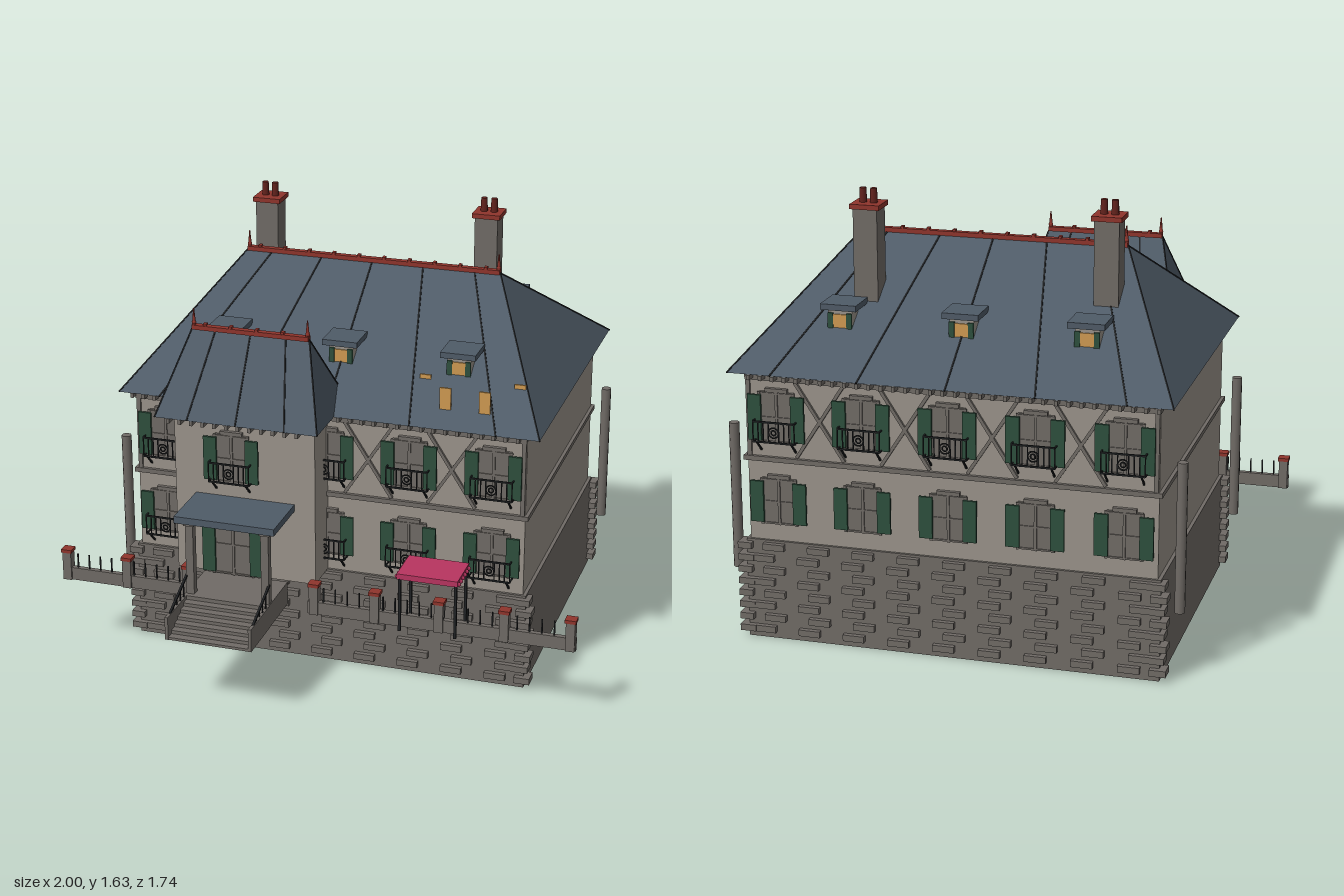
import * as THREE from 'three';

const mat = (name, color, extra = {}) => new THREE.MeshStandardMaterial({ name, color, ...extra });
const M = {
  wall: mat('plaster', 0x9a938a),
  stone: mat('stone', 0x706b66),
  slate: mat('slate', 0x4f5b67),
  red: mat('terracotta', 0x8f352c),
  pot: mat('dark clay', 0x63231d),
  green: mat('shutter green', 0x2e4f3d),
  glow: mat('lit glass', 0xcf9a52),
  iron: mat('iron', 0x1f2123),
  pink: mat('awning pink', 0xb83560),
};

function add(parent, name, geo, material, x = 0, y = 0, z = 0) {
  const m = new THREE.Mesh(geo, material);
  m.name = name;
  m.position.set(x, y, z);
  parent.add(m);
  return m;
}
// Box given by its extents
const box = (p, name, material, x0, x1, y0, y1, z0, z1) =>
  add(p, name, new THREE.BoxGeometry(x1 - x0, y1 - y0, z1 - z0), material, (x0 + x1) / 2, (y0 + y1) / 2, (z0 + z1) / 2);
// Square bar between two points
function bar(p, name, material, a, b, w, d = w) {
  const A = new THREE.Vector3(...a), B = new THREE.Vector3(...b), dir = B.clone().sub(A);
  const m = add(p, name, new THREE.BoxGeometry(w, dir.length(), d), material);
  m.position.copy(A).add(B).multiplyScalar(0.5);
  m.quaternion.setFromUnitVectors(new THREE.Vector3(0, 1, 0), dir.normalize());
  return m;
}
function group(parent, name, x = 0, y = 0, z = 0) {
  const g = new THREE.Group();
  g.name = name;
  g.position.set(x, y, z);
  parent.add(g);
  return g;
}

// Hip roof with ridge cap, finials, seams and rafter tails
function hipRoof(parent, name, r) {
  const g = group(parent, name);
  const { x0, x1, z0, z1, y, rx0, rx1, ry } = r, zc = (z0 + z1) / 2;
  const a = [x0, y, z1], b = [x1, y, z1], c = [x1, y, z0], d = [x0, y, z0], e = [rx0, ry, zc], f = [rx1, ry, zc];
  const tris = [a, b, f, a, f, e, c, d, e, c, e, f, b, c, f, d, a, e, a, d, c, a, c, b];
  const geo = new THREE.BufferGeometry();
  geo.setAttribute('position', new THREE.Float32BufferAttribute(tris.flat(), 3));
  geo.computeVertexNormals();
  add(g, 'slateRoof', geo, M.slate);
  for (const [p, q] of [[a, e], [b, f], [c, f], [d, e]]) bar(g, 'hipSeam', M.iron, p, q, 0.005);
  for (const t of r.seams) {
    const k = (s, u, v) => u + (v - u) * s;
    for (const z of [z0, z1]) bar(g, 'roofSeam', M.iron, [k(t, x0, x1), y, z], [k(t, rx0, rx1), ry, zc], 0.006);
  }
  box(g, 'ridgeCap', M.red, rx0, rx1, ry - 0.005, ry + 0.012, zc - 0.012, zc + 0.012);
  for (let x = rx0 + 0.05; x < rx1 - 0.02; x += 0.1) box(g, 'ridgeKnob', M.red, x - 0.006, x + 0.006, ry, ry + 0.02, zc - 0.01, zc + 0.01);
  for (const x of [rx0 + 0.006, rx1 - 0.006]) {
    add(g, 'finial', new THREE.CylinderGeometry(0.002, 0.009, 0.07, 8), M.red, x, ry + 0.038, zc);
    add(g, 'finialKnob', new THREE.SphereGeometry(0.009, 8, 6), M.red, x, ry + 0.02, zc);
  }
  for (let x = x0 + 0.05; x <= x1 - 0.04; x += 0.045) {
    box(g, 'rafterTail', M.stone, x - 0.006, x + 0.006, y - 0.02, y - 0.002, z1 - 0.045, z1 - 0.003);
    if (r.back) box(g, 'rafterTail', M.stone, x - 0.006, x + 0.006, y - 0.02, y - 0.002, z0 - 0.004, z0 + 0.045);
  }
}

// Shuttered window; origin is the middle of its sill on the wall
function windowUnit(p, x, y, h = 0.19, w = 0.13) {
  const g = group(p, 'window', x, y, 0), s = w / 2;
  box(g, 'windowPane', M.stone, -s, s, 0, h, 0, 0.01);
  box(g, 'lintel', M.stone, -s * 0.65, s * 0.65, h, h + 0.014, 0, 0.015);
  for (const u of [-s, 0, s]) box(g, 'windowFrame', M.stone, u - 0.005, u + 0.005, 0, h, 0.01, 0.015);
  for (const v of [0.005, h * 0.5, h - 0.005]) box(g, 'glazingBar', M.stone, -s, s, v - 0.003, v + 0.003, 0.01, 0.014);
  for (const k of [-1, 1]) {
    const c = k * (s + 0.016);
    box(g, 'shutter', M.green, c - 0.025, c + 0.025, 0.01, h - 0.01, 0.014, 0.024);
  }
}

// Wrought iron balcony
function balcony(p, x, y) {
  const g = group(p, 'balcony', x, y, 0), s = 0.078, d = 0.047;
  for (const v of [0, 0.075]) {
    bar(g, 'rail', M.iron, [-s, v, d], [s, v, d], 0.006);
    for (const k of [-s, s]) bar(g, 'sideRail', M.iron, [k, v, 0], [k, v, d], 0.005);
  }
  for (let i = 0; i <= 8; i++) {
    const u = -s + (i * s) / 4;
    if (i !== 4) bar(g, 'baluster', M.iron, [u, 0, d], [u, 0.075, d], 0.004);
  }
  add(g, 'scrollRing', new THREE.TorusGeometry(0.019, 0.003, 5, 14), M.iron, 0, 0.037, d);
  add(g, 'scrollRing', new THREE.TorusGeometry(0.009, 0.003, 5, 12), M.iron, 0, 0.037, d);
  for (const k of [-0.065, 0.065]) bar(g, 'bracket', M.iron, [k, -0.045, 0], [k, 0, d], 0.006);
}

// Main facade with timber braces; origin on the wall plane
function facade(root, name, z, turn, skip, lowBalcony) {
  const g = group(root, name, 0, 0, z);
  g.rotation.y = turn;
  for (let i = -2; i <= 2; i++) {
    if (i === skip) continue;
    windowUnit(g, i * 0.318, 0.755);
    windowUnit(g, i * 0.318, 0.445, 0.175);
    balcony(g, i * 0.318, 0.768);
    if (lowBalcony) balcony(g, i * 0.318, 0.445);
  }
  for (let i = -1.5; i <= 1.5; i++) {
    const c = i * 0.318;
    for (const k of [-1, 1]) bar(g, 'timberBrace', M.stone, [c - 0.09 * k, 0.705, 0.003], [c + 0.09 * k, 0.985, 0.003], 0.012, 0.01);
  }
  for (const k of [-1, 1]) box(g, 'cornerTimber', M.stone, k * 0.745 - 0.008, k * 0.745 + 0.008, 0.7, 0.99, 0, 0.008);
  box(g, 'topTimber', M.stone, -0.755, 0.755, 0.985, 1.003, 0, 0.01);
  // projecting stones of the basement
  for (let r = 0; r < 8; r++) {
    const y = 0.025 + r * 0.046;
    for (let c = -4; c <= 4; c++) {
      const x = c * 0.17 + (r % 2 ? 0.02 : -0.02);
      box(g, 'faceStone', M.stone, x - 0.04, x + 0.04, y, y + 0.024, 0, 0.027);
    }
    for (const k of [-1, 1]) box(g, 'quoin', M.stone, k * 0.765 - 0.03, k * 0.765 + (r % 2 ? 0.022 : 0.03), y, y + 0.024, -0.03, 0.03);
  }
}

function dormer(root, x, z, turn) {
  const g = group(root, 'dormer', x, 0, z);
  g.rotation.y = turn;
  box(g, 'dormerBody', M.wall, -0.045, 0.045, 1.13, 1.22, -0.06, 0.045);
  box(g, 'dormerRoof', M.slate, -0.067, 0.067, 1.218, 1.24, -0.067, 0.067);
  box(g, 'dormerPane', M.glow, -0.025, 0.025, 1.145, 1.2, 0.045, 0.05);
  for (const k of [-1, 1]) box(g, 'dormerShutter', M.green, k * 0.035 - 0.01, k * 0.035 + 0.01, 1.14, 1.205, 0.045, 0.053);
}

function chimney(root, x, z) {
  const g = group(root, 'chimney', x, 0, z);
  box(g, 'chimneyShaft', M.stone, -0.045, 0.045, 1.1, 1.565, -0.045, 0.045);
  box(g, 'chimneyCap', M.red, -0.055, 0.055, 1.562, 1.58, -0.053, 0.053);
  for (const k of [-1, 1]) add(g, 'chimneyPot', new THREE.CylinderGeometry(0.012, 0.014, 0.055, 10), M.pot, k * 0.02, 1.605, 0);
}

function entrance(root) {
  const g = group(root, 'entrance');
  box(g, 'canopy', M.slate, -0.466, -0.08, 0.668, 0.695, 0.46, 0.69);
  for (const x of [-0.42, -0.128]) {
    box(g, 'canopyPost', M.stone, x - 0.015, x + 0.015, 0.37, 0.668, 0.63, 0.66);
    box(g, 'postCapital', M.stone, x - 0.02, x + 0.02, 0.65, 0.668, 0.625, 0.665);
  }
  box(g, 'landing', M.stone, -0.44, -0.11, 0.285, 0.375, 0.46, 0.68);
  for (let i = 0; i < 6; i++) box(g, 'step', M.stone, -0.435, -0.115, 0.285, 0.36 - i * 0.013, 0.68 + i * 0.031, 0.711 + i * 0.031);
  for (const x of [-0.435, -0.115]) {
    box(g, 'stairCheek', M.stone, x - 0.006, x + 0.006, 0.285, 0.374, 0.66, 0.867);
    bar(g, 'handrail', M.iron, [x, 0.45, 0.65], [x, 0.372, 0.83], 0.008);
    for (let i = 0; i < 5; i++) bar(g, 'handrailPost', M.iron, [x, 0.35, 0.655 + i * 0.035], [x, 0.449 - i * 0.0152, 0.655 + i * 0.035], 0.004);
  }
}

function fence(root) {
  const g = group(root, 'fence'), z = 0.503;
  for (const [a, b] of [[-1, -0.46], [-0.015, 1]]) {
    box(g, 'fenceWall', M.stone, a, b, 0.285, 0.335, z - 0.01, z + 0.01);
    for (let x = a + 0.06; x < b - 0.03; x += 0.046) bar(g, 'picket', M.iron, [x, 0.33, z], [x, 0.392, z], 0.005);
  }
  for (const x of [-0.98, -0.735, -0.49, 0.01, 0.245, 0.49, 0.735, 0.98]) {
    box(g, 'fencePier', M.stone, x - 0.017, x + 0.017, 0.285, 0.4, z - 0.017, z + 0.017);
    box(g, 'pierCap', M.red, x - 0.021, x + 0.021, 0.398, 0.411, z - 0.021, z + 0.021);
  }
}

function awning(root) {
  const g = group(root, 'awning');
  box(g, 'awningTop', M.pink, 0.338, 0.567, 0.493, 0.515, 0.382, 0.547);
  for (let i = 0; i < 6; i++) for (const x of [0.336, 0.569])
    add(g, 'awningNub', new THREE.SphereGeometry(0.008, 8, 6), M.pink, x, 0.5, 0.395 + i * 0.028);
  for (const x of [0.35, 0.56]) for (const z of [0.398, 0.543]) bar(g, 'awningPole', M.iron, [x, 0.285, z], [x, 0.495, z], 0.01);
}

export function createModel() {
  const root = new THREE.Group();
  root.name = 'house';

  // Masses
  box(root, 'basement', M.stone, -0.768, 0.768, 0, 0.38, -0.83, 0.32);
  box(root, 'upperWalls', M.wall, -0.755, 0.755, 0.38, 1.015, -0.82, 0.31);
  box(root, 'floorBand', M.stone, -0.768, 0.768, 0.682, 0.7, -0.833, 0.323);
  box(root, 'towerWalls', M.wall, -0.545, 0, 0.38, 1.015, 0.3, 0.46);

  // Roofs
  hipRoof(root, 'mainRoof', { x0: -0.808, x1: 0.808, z0: -0.867, z1: 0.353, y: 1.015, rx0: -0.505, rx1: 0.5, ry: 1.42, seams: [0.1, 0.3, 0.5, 0.7, 0.9], back: true });
  hipRoof(root, 'towerRoof', { x0: -0.587, x1: 0.038, z0: 0.18, z1: 0.548, y: 1.015, rx0: -0.5, rx1: -0.05, ry: 1.31, seams: [0.2, 0.5, 0.8], back: false });

  // Facades
  facade(root, 'frontFacade', 0.312, 0, -1, true);
  facade(root, 'backFacade', -0.822, Math.PI, 9, false);
  const tower = group(root, 'towerFront', 0, 0, 0.462);
  windowUnit(tower, -0.318, 0.755);
  balcony(tower, -0.318, 0.768);
  windowUnit(tower, -0.318, 0.38, 0.245, 0.155);

  // Roof features
  for (const x of [-0.455, 0, 0.452]) {
    dormer(root, x, 0.097, 0);
    dormer(root, x, -0.612, Math.PI);
  }
  chimney(root, -0.483, -0.458);
  chimney(root, 0.39, -0.505);
  for (const x of [0.438, 0.585]) box(root, 'roofLight', M.glow, x - 0.021, x + 0.021, 1.065, 1.148, 0.271, 0.279);
  for (const x of [0.333, 0.69]) box(root, 'roofLightSill', M.glow, x - 0.021, x + 0.021, 1.134, 1.15, 0.166, 0.174);

  // Downpipes
  for (const [x, z] of [[-0.825, -0.773], [-0.825, 0.26], [0.825, -0.773]])
    add(root, 'downpipe', new THREE.CylinderGeometry(0.019, 0.019, 0.555, 10), M.stone, x, 0.523, z);

  entrance(root);
  fence(root);
  awning(root);
  return root;
}
